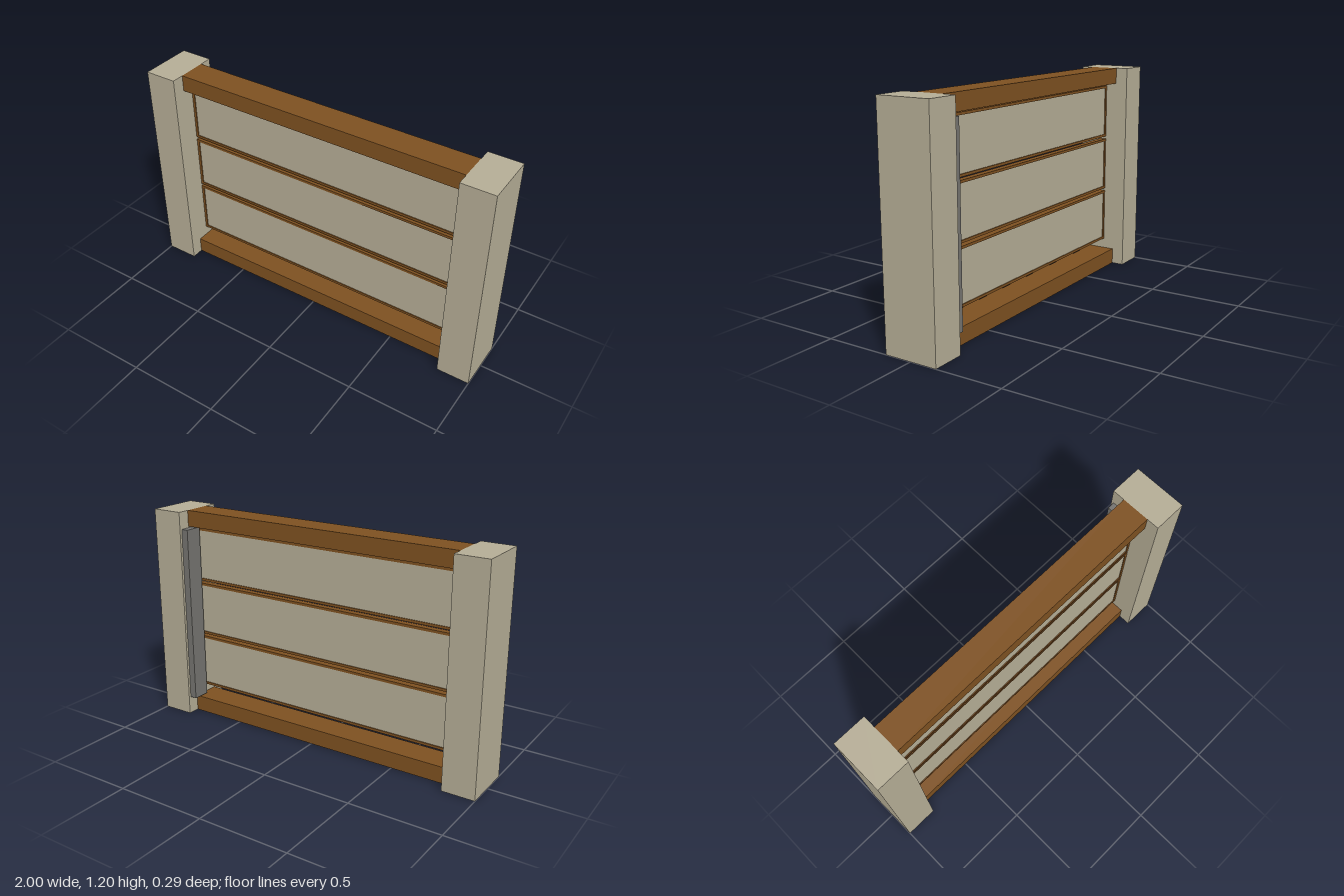
import * as THREE from 'three';

export function createModel() {
  const root = new THREE.Group();
  root.name = 'slattedGate';

  const stone = new THREE.MeshStandardMaterial({ color: 0xb4ac95 });
  stone.name = 'pale stone';
  const wood = new THREE.MeshStandardMaterial({ color: 0x7d5020 });
  wood.name = 'brown wood';
  const metal = new THREE.MeshStandardMaterial({ color: 0x74736f });
  metal.name = 'grey metal';

  // Box given by its lower and upper corners
  function box(name, material, [x0, y0, z0], [x1, y1, z1], parent = root) {
    const mesh = new THREE.Mesh(new THREE.BoxGeometry(x1 - x0, y1 - y0, z1 - z0), material);
    mesh.position.set((x0 + x1) / 2, (y0 + y1) / 2, (z0 + z1) / 2);
    mesh.name = name;
    parent.add(mesh);
  }

  // Posts
  box('leftPost', stone, [0.82, 0, -0.147], [1, 1.2, 0.147]);
  box('rightPost', stone, [-1, 0, -0.147], [-0.82, 1.2, 0.147]);

  // Rails between the posts
  box('bottomRail', wood, [-0.82, 0, -0.078], [0.82, 0.09, 0.078]);
  box('topRail', wood, [-0.82, 1.11, -0.078], [0.82, 1.2, 0.078]);

  // Three framed panels, each infill slightly recessed
  const w = 0.817, h = 0.305, b = 0.014, d = 0.018, inset = 0.013;
  for (let i = 0; i < 3; i++) {
    const panel = new THREE.Group();
    panel.name = 'panel' + (i + 1);
    root.add(panel);
    const y = 0.149 + i * 0.32;
    box('frameBottom', wood, [-w, y, -d], [w, y + b, d], panel);
    box('frameTop', wood, [-w, y + h - b, -d], [w, y + h, d], panel);
    box('frameRight', wood, [-w, y + b, -d], [-w + b, y + h - b, d], panel);
    box('frameLeft', wood, [w - b, y + b, -d], [w, y + h - b, d], panel);
    box('infill', stone, [-w + b, y + b, -inset], [w - b, y + h - b, inset], panel);
  }

  // Upright bar behind the panels
  box('backBar', metal, [0.78, 0.1, -0.133], [0.82, 1.103, -0.033]);

  return root;
}
